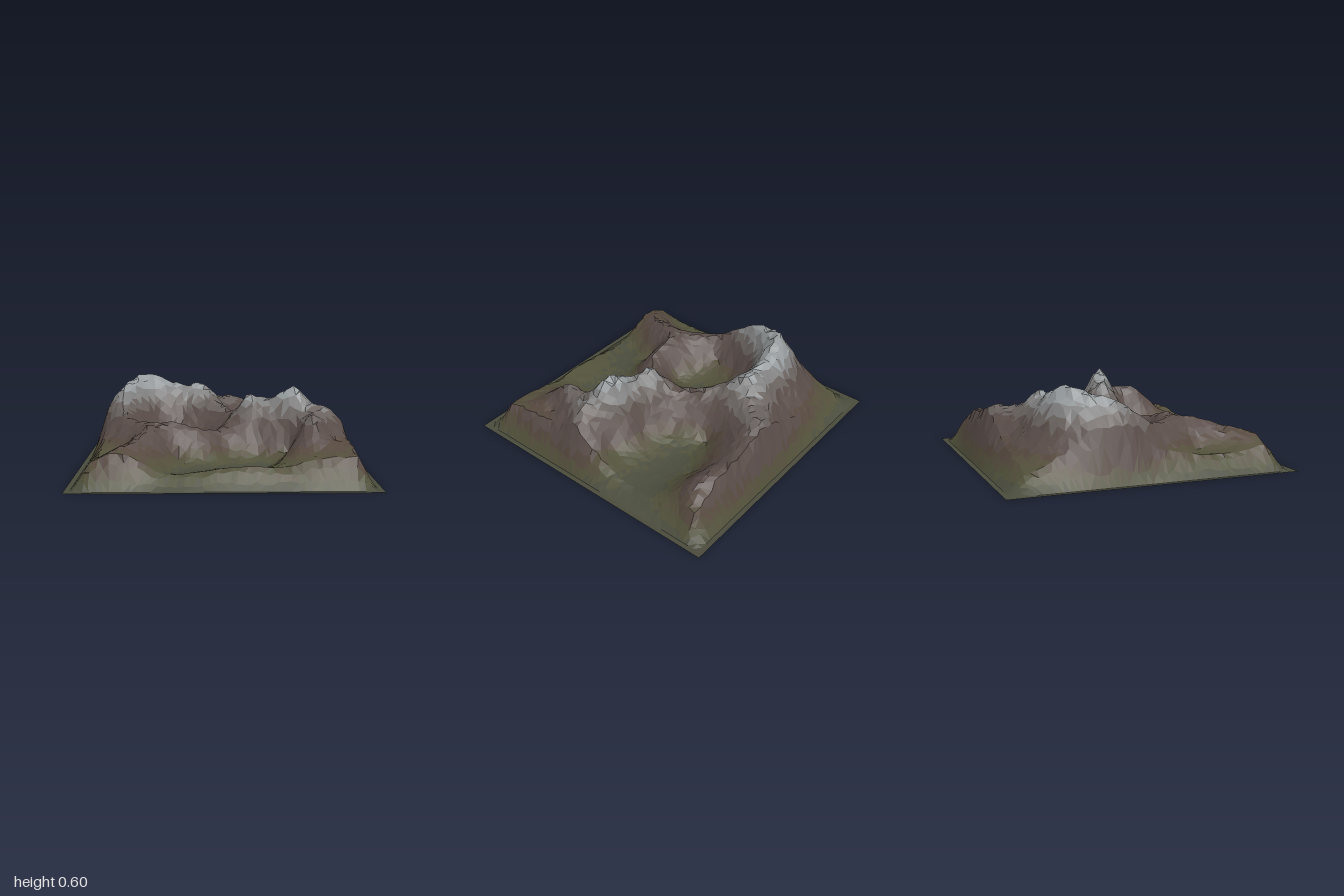
import * as THREE from 'three';

// Ridge crests, each a line of [x, height, z] points
const RIDGES = [
  // main massif around the western basin, running on to the eastern peak
  [[-0.48, 0.34, 0.31], [-0.54, 0.33, 0.22], [-0.65, 0.33, 0.09], [-0.72, 0.39, -0.02], [-0.75, 0.49, -0.18],
    [-0.7, 0.54, -0.32], [-0.6, 0.595, -0.48], [-0.45, 0.575, -0.51], [-0.3, 0.5, -0.53], [-0.15, 0.53, -0.53],
    [-0.08, 0.43, -0.4], [0.02, 0.37, -0.27], [0.09, 0.35, -0.12], [0.13, 0.42, 0.02], [0.2, 0.51, 0.07],
    [0.34, 0.48, 0.1], [0.5, 0.575, 0.16], [0.61, 0.47, 0.2], [0.62, 0.4, 0.32], [0.59, 0.41, 0.47],
    [0.58, 0.3, 0.6], [0.62, 0.2, 0.72]],
  // low saddle between the two southern basins
  [[-0.48, 0.34, 0.33], [-0.3, 0.34, 0.34], [-0.1, 0.28, 0.33], [-0.04, 0.27, 0.24], [0.04, 0.32, 0.13], [0.13, 0.4, 0.05]],
  // south-west spur
  [[-0.48, 0.34, 0.33], [-0.5, 0.32, 0.5], [-0.55, 0.27, 0.65], [-0.7, 0.24, 0.78]],
  // northern ridge, dropping to the corner
  [[-0.13, 0.5, -0.55], [-0.06, 0.4, -0.66], [0.0, 0.4, -0.75], [0.12, 0.38, -0.82], [0.3, 0.32, -0.84],
    [0.52, 0.3, -0.83], [0.66, 0.28, -0.75], [0.75, 0.25, -0.74], [0.86, 0.16, -0.82]],
  // eastern shoulder
  [[0.6, 0.45, 0.2], [0.75, 0.42, 0.2], [0.85, 0.33, 0.2]],
];

// Heights along the four edge crests
const EDGES = [
  [[-0.86, 0.16, 0.86], [-0.7, 0.22, 0.86], [-0.55, 0.17, 0.86], [-0.4, 0.09, 0.86], [-0.2, 0.1, 0.86],
    [0, 0.13, 0.86], [0.2, 0.14, 0.86], [0.4, 0.13, 0.86], [0.6, 0.18, 0.86], [0.86, 0.19, 0.86]],
  [[0.86, 0.19, 0.86], [0.86, 0.23, 0.6], [0.86, 0.25, 0.35], [0.86, 0.3, 0.19], [0.86, 0.18, 0],
    [0.86, 0.08, -0.2], [0.86, 0.06, -0.37], [0.86, 0.08, -0.55], [0.86, 0.12, -0.72], [0.9, 0.15, -0.87]],
  [[0.9, 0.15, -0.87], [0.7, 0.2, -0.88], [0.5, 0.28, -0.87], [0.2, 0.34, -0.86], [0, 0.31, -0.86],
    [-0.3, 0.2, -0.86], [-0.6, 0.13, -0.86], [-0.86, 0.09, -0.86]],
  [[-0.86, 0.09, -0.86], [-0.86, 0.2, -0.57], [-0.86, 0.33, -0.35], [-0.86, 0.33, -0.17], [-0.86, 0.2, 0],
    [-0.86, 0.16, 0.15], [-0.86, 0.13, 0.4], [-0.86, 0.13, 0.65], [-0.86, 0.16, 0.86]],
];

// Basin floors and open slopes: [x, height, z]
const FLOORS = [
  [-0.3, 0.14, -0.18], [-0.25, 0.09, 0.03], [-0.2, 0.11, 0.18], [-0.4, 0.13, 0.1], [-0.48, 0.18, -0.16],
  [-0.06, 0.16, 0.02], [-0.14, 0.19, -0.2], [-0.3, 0.24, -0.32], [-0.45, 0.29, -0.33], [-0.54, 0.19, 0.02],
  [0.15, 0.07, 0.45], [0.35, 0.07, 0.5], [0.1, 0.08, 0.65], [-0.1, 0.09, 0.52], [-0.3, 0.11, 0.5],
  [0.3, 0.1, 0.7], [-0.35, 0.08, 0.7], [0.25, 0.12, 0.33], [0.45, 0.13, 0.38], [0.04, 0.11, 0.36],
  [0.4, 0.07, -0.4], [0.6, 0.06, -0.3], [0.3, 0.13, -0.2], [0.2, 0.1, -0.45], [0.5, 0.09, -0.55],
  [0.7, 0.07, -0.48], [0.45, 0.18, -0.08], [0.7, 0.15, -0.02],
  [-0.7, 0.13, 0.4], [-0.75, 0.14, 0.58], [-0.78, 0.2, 0.13], [-0.6, 0.25, -0.72], [-0.8, 0.15, -0.72],
  [-0.3, 0.3, -0.72], [0.75, 0.24, 0.5],
];

function hash(i, j, k) {
  const s = Math.sin(i * 127.1 + j * 311.7 + k * 74.7) * 43758.5453;
  return s - Math.floor(s) - 0.5;
}

// Gather the control points, sampling every crest line evenly
function controlPoints() {
  const points = [];
  const add = (p) => {
    if (points.every((q) => Math.hypot(p.x - q.x, p.z - q.z) > 0.035)) points.push(p);
  };
  for (const line of [...RIDGES, ...EDGES]) {
    const curve = new THREE.CatmullRomCurve3(line.map((p) => new THREE.Vector3(...p)), false, 'centripetal');
    curve.getSpacedPoints(Math.round(curve.getLength() / 0.06)).forEach(add);
  }
  FLOORS.forEach((p) => add(new THREE.Vector3(...p)));
  return points;
}

// Surface through all control points (distance kernel, solved by elimination)
function heightField() {
  const pts = controlPoints();
  const n = pts.length;
  const m = pts.map((p) => [...pts.map((q) => Math.hypot(p.x - q.x, p.z - q.z)), p.y]);
  for (let c = 0; c < n; c++) {
    let pivot = c;
    for (let r = c + 1; r < n; r++) if (Math.abs(m[r][c]) > Math.abs(m[pivot][c])) pivot = r;
    [m[c], m[pivot]] = [m[pivot], m[c]];
    for (let r = c + 1; r < n; r++) {
      const f = m[r][c] / m[c][c];
      for (let k = c; k <= n; k++) m[r][k] -= f * m[c][k];
    }
  }
  const w = new Array(n).fill(0);
  for (let r = n - 1; r >= 0; r--) {
    let sum = m[r][n];
    for (let k = r + 1; k < n; k++) sum -= m[r][k] * w[k];
    w[r] = sum / m[r][r];
  }
  // fade to the flat rim, slightly hollow at the foot
  const fade = (v) => {
    const t = THREE.MathUtils.clamp((0.965 - Math.abs(v)) / 0.11, 0, 1);
    return t * (0.75 + 0.25 * t);
  };
  return (x, z) => {
    // beyond the edge crests the surface keeps their height before fading
    const cx = THREE.MathUtils.clamp(x, -0.87, 0.87), cz = THREE.MathUtils.clamp(z, -0.87, 0.87);
    let h = 0;
    for (let i = 0; i < n; i++) h += w[i] * Math.hypot(cx - pts[i].x, cz - pts[i].z);
    return Math.max(0, h) * fade(x) * fade(z);
  };
}

// Colour bands from valley floor to summit
const BANDS = [
  ['valleyFloor', 0.09, 0x4a4c3d], ['meadow', 0.16, 0x50503a], ['upperMeadow', 0.22, 0x544e3c],
  ['lowerRock', 0.27, 0x56493f], ['middleRock', 0.35, 0x594d49], ['upperRock', 0.42, 0x69625f],
  ['scree', 0.49, 0x7f807f], ['summit', 9, 0x959a9c],
];

export function createModel() {
  const group = new THREE.Group();
  group.name = 'mountainTerrain';
  const height = heightField();

  // irregular grid, with straight rows along the rim
  const N = 48;
  const axis = (i) => (i === 0 ? -1 : i === N ? 1 : -0.965 + (1.93 * (i - 1)) / (N - 2));
  const grid = [];
  for (let j = 0; j <= N; j++) {
    grid.push([]);
    for (let i = 0; i <= N; i++) {
      const inside = i > 1 && j > 1 && i < N - 1 && j < N - 1;
      const x = axis(i) + (inside ? hash(i, j, 1) * 0.024 : 0);
      const z = axis(j) + (inside ? hash(i, j, 2) * 0.024 : 0);
      const rough = 1 + hash(i, j, 3) * 0.05;
      grid[j].push(new THREE.Vector3(x, height(x, z) * rough, z));
    }
  }

  // sort the facets into bands by mean height, steep low ground counting as rock
  const facets = BANDS.map(() => []);
  const normal = new THREE.Vector3();
  const addFacet = (a, b, c) => {
    const mean = (a.y + b.y + c.y) / 3 + hash(a.x, b.z, c.x) * 0.04;
    new THREE.Triangle(a, b, c).getNormal(normal);
    const key = Math.max(mean, Math.min(0.3, mean + 0.2 * (1 - normal.y)));
    facets[BANDS.findIndex((band) => key < band[1])].push(a, b, c);
  };
  for (let j = 0; j < N; j++) {
    for (let i = 0; i < N; i++) {
      const a = grid[j][i], b = grid[j][i + 1], c = grid[j + 1][i + 1], d = grid[j + 1][i];
      // split along the flatter diagonal so crests stay crisp
      if (Math.abs(a.y - c.y) < Math.abs(b.y - d.y)) {
        addFacet(a, d, c);
        addFacet(a, c, b);
      } else {
        addFacet(a, d, b);
        addFacet(b, d, c);
      }
    }
  }

  BANDS.forEach(([name, , color], k) => {
    const geometry = new THREE.BufferGeometry().setFromPoints(facets[k]);
    geometry.computeVertexNormals();
    const material = new THREE.MeshStandardMaterial({ color, flatShading: true, side: THREE.DoubleSide });
    const mesh = new THREE.Mesh(geometry, material);
    mesh.name = name;
    group.add(mesh);
  });
  return group;
}
